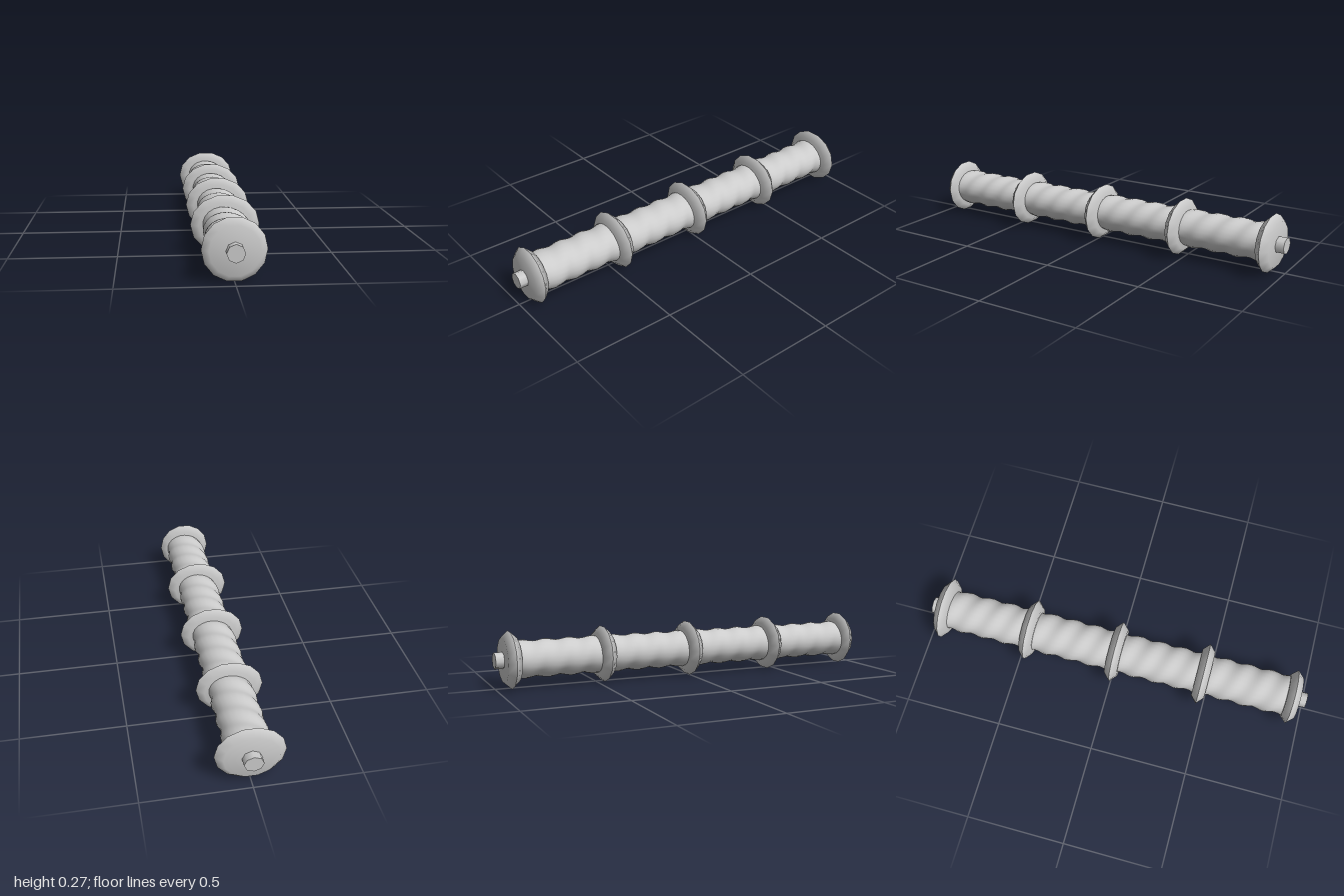
import * as THREE from 'three';
import { mergeVertices } from 'three/addons/utils/BufferGeometryUtils.js';

const CENTRE_Y = 0.137;
const COLLAR_Z = [-0.926, -0.462, 0, 0.462, 0.926];

// Half of a bevelled collar: flat face and sloped rim, facing +z
function collarHalf(rx, ry) {
  const profile = [[1, 0], [0.78, 0.033], [0, 0.033]].map(([r, h]) => new THREE.Vector2(r, h));
  const g = new THREE.LatheGeometry(profile, 14, Math.PI / 2);
  g.rotateX(Math.PI / 2);
  g.scale(rx, ry, 1);
  return g;
}

// Twisted shaft: two raised strands wind along z
function shaftGeometry(length) {
  const g0 = new THREE.CylinderGeometry(1, 1, length, 24, 144, true);
  g0.rotateX(Math.PI / 2);
  const p = g0.attributes.position;
  for (let i = 0; i < p.count; i++) {
    const z = p.getZ(i);
    const a = Math.atan2(p.getY(i), p.getX(i));
    const r = 1 + 0.05 * Math.cos(2 * a + (z * 2 * Math.PI) / 0.116);
    p.setXY(i, Math.cos(a) * r * 0.105, Math.sin(a) * r * 0.089);
  }
  g0.deleteAttribute('uv');
  g0.deleteAttribute('normal');
  const g = mergeVertices(g0, 1e-5);
  g.computeVertexNormals();
  return g;
}

export function createModel() {
  const model = new THREE.Group();
  model.name = 'twistedRod';
  const grey = new THREE.MeshStandardMaterial({ color: 0xcccccc });
  grey.name = 'light grey';

  const add = (parent, name, geometry, z = 0) => {
    const mesh = new THREE.Mesh(geometry, grey);
    mesh.name = name;
    mesh.position.z = z;
    parent.add(mesh);
    return mesh;
  };

  const rod = new THREE.Group();
  rod.name = 'rod';
  rod.position.y = CENTRE_Y;
  model.add(rod);

  add(rod, 'twistedShaft', shaftGeometry(1.85));

  // Collars, the front one rounder than the rest
  COLLAR_Z.forEach((z, i) => {
    const collar = new THREE.Group();
    collar.name = 'collar' + (i + 1);
    collar.position.z = z;
    const half = collarHalf(i === 4 ? 0.14 : 0.162, 0.14);
    add(collar, 'collarFront', half);
    add(collar, 'collarBack', half).rotation.y = Math.PI;
    rod.add(collar);
  });

  // Octagonal end pins
  for (const [name, side, rx] of [['frontPin', 1, 0.04], ['backPin', -1, 0.045]]) {
    const g = new THREE.CylinderGeometry(1, 1, 0.08, 8);
    g.rotateX(Math.PI / 2);
    g.scale(rx, 0.04, 1);
    add(rod, name, g, side * 0.96);
  }
  return model;
}
